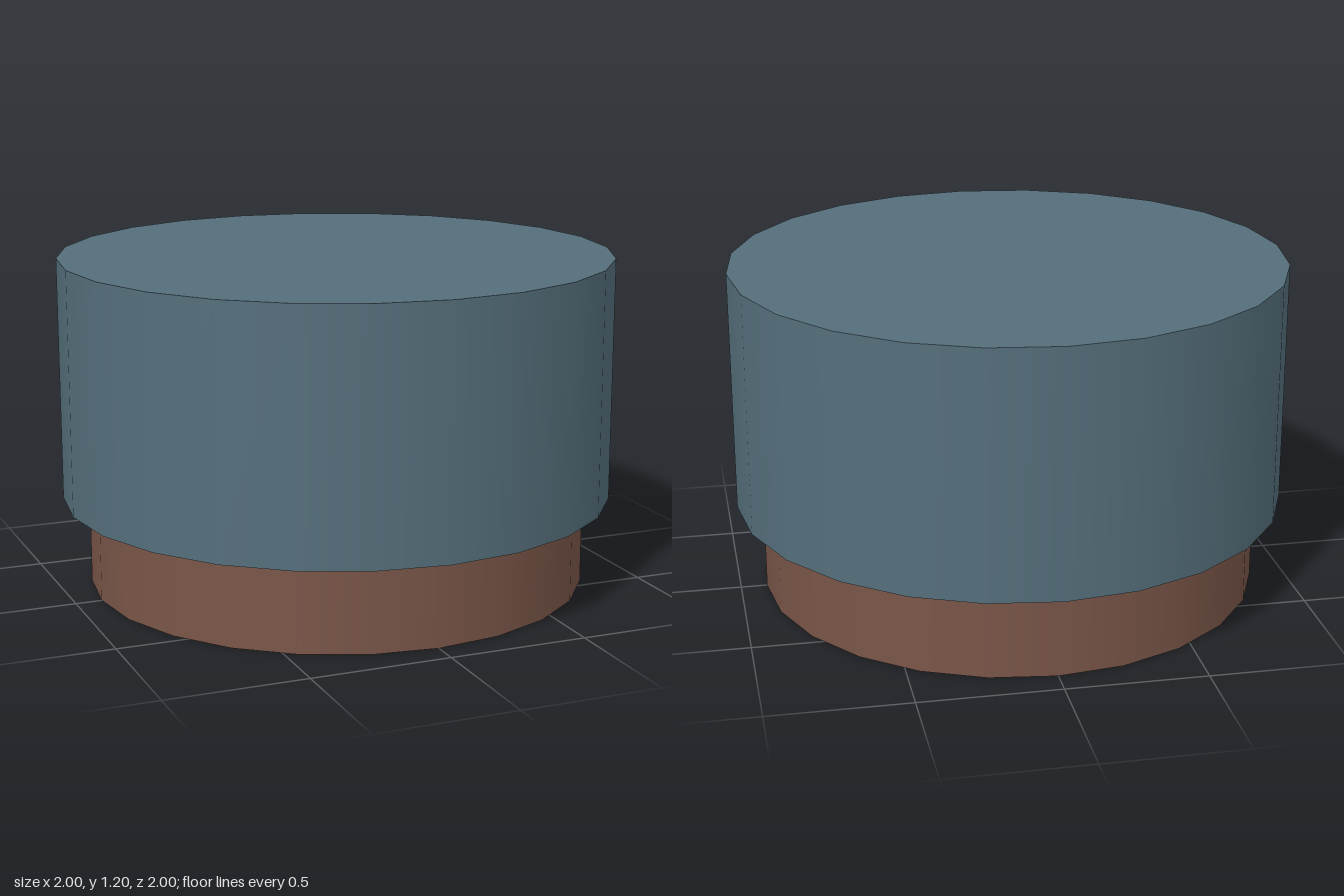
import * as THREE from 'three';

// Upright 24-sided drum with smooth sides between two heights
function drum(name, radius, bottom, top, color) {
  const mesh = new THREE.Mesh(
    new THREE.CylinderGeometry(radius, radius, top - bottom, 24),
    new THREE.MeshStandardMaterial({ color })
  );
  mesh.name = name;
  mesh.position.y = (bottom + top) / 2;
  return mesh;
}

export function createModel() {
  const group = new THREE.Group();
  group.name = 'roundStool';
  // Recessed wooden plinth
  group.add(drum('base', 0.905, 0, 0.325, 0x795548));
  // Wide upholstered drum resting on the plinth
  group.add(drum('seat', 1, 0.32, 1.2, 0x546e7a));
  return group;
}
